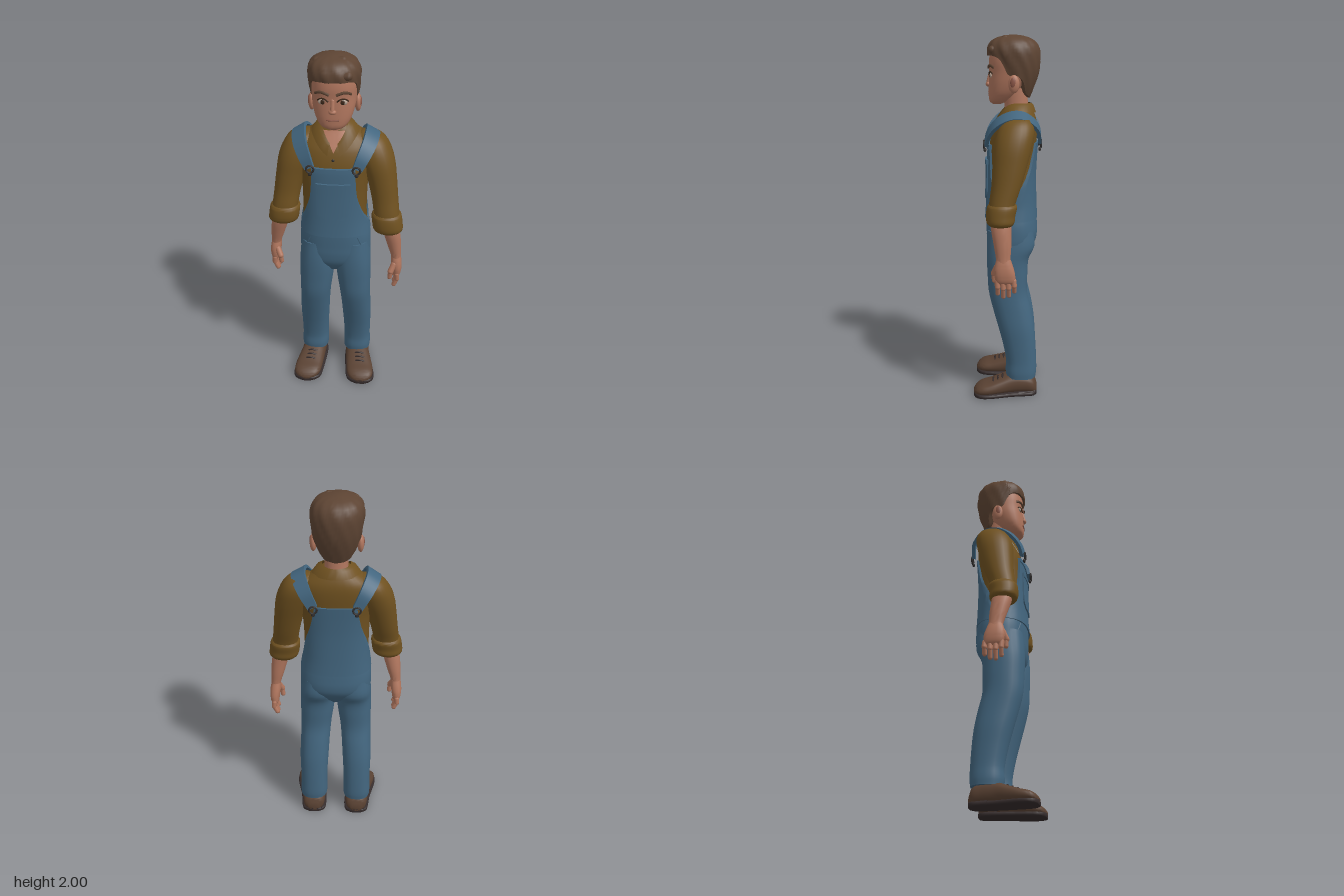
import * as THREE from 'three';
import { toCreasedNormals } from 'three/addons/utils/BufferGeometryUtils.js';

const mat = (name, color, side = THREE.FrontSide) => {
  const m = new THREE.MeshStandardMaterial({ color, side });
  m.name = name;
  return m;
};
const V = (x, y, z) => new THREE.Vector3(x, y, z);
const spow = (v, p) => Math.sign(v) * Math.pow(Math.abs(v), p);

// Smooth lookup in rows [t, ...values], t ascending
function sample(rows, t) {
  let i = 0;
  while (i < rows.length - 2 && t > rows[i + 1][0]) i++;
  const a = rows[i], b = rows[i + 1], p = rows[Math.max(0, i - 1)], q = rows[Math.min(rows.length - 1, i + 2)];
  const d = b[0] - a[0], f = Math.min(1, Math.max(0, (t - a[0]) / d)), f2 = f * f, f3 = f2 * f;
  return a.map((v, c) => {
    const m0 = (b[c] - p[c]) / (b[0] - p[0]) * d, m1 = (q[c] - v) / (q[0] - a[0]) * d;
    return (2 * f3 - 3 * f2 + 1) * v + (f3 - 2 * f2 + f) * m0 + (3 * f2 - 2 * f3) * b[c] + (f3 - f2) * m1;
  });
}

// Surface from a grid of points; optionally wrapped around and capped
function grid(pts, wrap, cap, crease = 0.9) {
  const R = pts.length, C = pts[0].length, pos = pts.flat().flatMap(p => [p.x, p.y, p.z]), idx = [];
  for (let r = 0; r < R - 1; r++) for (let c = 0; c < (wrap ? C : C - 1); c++) {
    const a = r * C + c, b = r * C + (c + 1) % C;
    idx.push(a, b, b + C, a, b + C, a + C);
  }
  if (cap) [0, R - 1].forEach((r, k) => {
    const m = pts[r].reduce((s, p) => s.add(p), V(0, 0, 0)).divideScalar(C), n = pos.length / 3;
    pos.push(m.x, m.y, m.z);
    for (let c = 0; c < C; c++) {
      const a = r * C + c, b = r * C + (c + 1) % C;
      idx.push(...(k ? [a, b, n] : [b, a, n]));
    }
  });
  const g = new THREE.BufferGeometry();
  g.setAttribute('position', new THREE.Float32BufferAttribute(pos, 3));
  g.setIndex(idx);
  return toCreasedNormals(g, crease);
}

// Rounded sections along y or z: rows [t, centre x, half width, high side, low side]
function loft(rows, { n = 2.2, axis = 'y', seg = 24, sub = 4 } = {}) {
  rows = [...rows].sort((a, b) => a[0] - b[0]);
  const pts = [];
  for (let i = 0; i <= (rows.length - 1) * sub; i++) {
    const k = Math.min(rows.length - 2, Math.floor(i / sub));
    const [t, cx, rx, hi, lo] = sample(rows, rows[k][0] + (rows[k + 1][0] - rows[k][0]) * (i / sub - k));
    pts.push(Array.from({ length: seg }, (_, j) => {
      const a = j / seg * Math.PI * 2, s = rx * spow(Math.sin(a), 2 / n);
      const w = (hi + lo) / 2 + (hi - lo) / 2 * spow(Math.cos(a), 2 / n);
      return axis === 'y' ? V(cx + s, t, w) : V(cx - s, w, t);
    }));
  }
  return grid(pts, true, true);
}

// Front (sign 1) or back (sign -1) depth of a lofted body at x, y
function depth(rows, n, x, y, sign = 1, off = 0) {
  const [, cx, rx, hi, lo] = sample(rows, y);
  const u = Math.min(1, Math.abs(x - cx) / (rx + off));
  return (hi + lo) / 2 + sign * ((hi - lo) / 2 + off) * Math.pow(1 - Math.pow(u, n), 1 / n);
}

// Cloth panel lying on a body, with half widths [y, w] and turned-in edges
function panel(body, n, widths, sign, off, U = 18, R = 16) {
  const y0 = widths[0][0], y1 = widths.at(-1)[0], pts = [];
  for (let r = -1; r <= R + 1; r++) {
    const y = y0 + (y1 - y0) * Math.min(R, Math.max(0, r)) / R, row = [];
    const [, cx, rx] = sample(body, y), w = sample(widths, y)[1];
    for (let u = -1; u <= U + 1; u++) {
      const o = r < 0 || r > R || u < 0 || u > U ? -0.004 : off;
      const a = (Math.min(U, Math.max(0, u)) / U * 2 - 1) * Math.PI / 2;
      const x = cx + sign * Math.min(w, rx + o) * Math.sin(a);
      row.push(V(x, y, depth(body, n, x, y, sign, o)));
    }
    pts.push(row);
  }
  return grid(pts, false, false);
}

function limb(a, b, r) {
  const d = b.clone().sub(a), g = new THREE.CapsuleGeometry(r, d.length(), 4, 10), mid = a.clone().add(b).multiplyScalar(0.5);
  return g.applyQuaternion(new THREE.Quaternion().setFromUnitVectors(V(0, 1, 0), d.normalize())).translate(mid.x, mid.y, mid.z);
}
const ball = (x, y, z, sx, sy, sz) => new THREE.SphereGeometry(1, 18, 12).scale(sx, sy, sz).translate(x, y, z);
const tube = (pts, r, seg = 16) => new THREE.TubeGeometry(new THREE.CatmullRomCurve3(pts), seg, r, 6);

export function createModel() {
  const root = new THREE.Group();
  const skin = mat('skin', 0xb0765e, THREE.DoubleSide), denim = mat('denim', 0x43667f, THREE.DoubleSide);
  const shirt = mat('shirt', 0x6f5120, THREE.DoubleSide), hair = mat('hair', 0x5d4433, THREE.DoubleSide);
  const leather = mat('shoe leather', 0x5a4233), sole = mat('sole', 0x352c2c), metal = mat('dark metal', 0x33302f);
  const white = mat('eye white', 0xb9a595), iris = mat('iris', 0x3c281a), lip = mat('lip', 0x8a5546);
  const add = (name, g, m) => {
    const o = new THREE.Mesh(g, m);
    o.name = name;
    root.add(o);
    return o;
  };

  // Shirt body, neck and open collar
  const body = [[1, -.005, .188, .112, -.162], [1.1, -.008, .177, .105, -.157], [1.25, -.008, .177, .1, -.154],
    [1.35, -.008, .185, .098, -.158], [1.42, -.008, .198, .093, -.163], [1.5, -.008, .2, .07, -.167],
    [1.55, -.008, .175, .042, -.162], [1.595, -.008, .115, .015, -.145], [1.625, -.008, .07, 0, -.125]];
  add('shirtBody', loft(body, { n: 2.4, seg: 32 }), shirt);
  add('neck', loft([[1.53, -.008, .07, .03, -.13], [1.62, -.008, .062, .012, -.118], [1.72, -.008, .064, .03, -.11]]), skin);
  add('openNeck', panel(body, 2.4, [[1.5, .001], [1.55, .028], [1.6, .06]], 1, .005), skin);
  const collar = [[], [], []];
  for (let j = 0; j <= 32; j++) {
    const a = (.04 + .92 * j / 32) * Math.PI * 2, f = Math.max(0, Math.cos(a)), s = Math.sin(a), c = Math.cos(a);
    const y = 1.638 - .1 * f ** 2.5, zf = c > 0 ? .115 : .08;
    collar[0].push(V(-.008 + .128 * s, y - .05 - .01 * f, -.055 + (zf + .025) * c));
    collar[1].push(V(-.008 + .098 * s, y - .012, -.055 + (zf + .012) * c));
    collar[2].push(V(-.008 + .074 * s, y, -.055 + zf * c));
  }
  add('collar', grid(collar, false, false), shirt);
  add('shirtButton', ball(-.008, 1.465, .089, .008, .008, .005), metal);

  // Overalls: hips, bib front and back, pocket and waist seam
  const hips = [[.76, -.004, .1, .06, -.06], [.82, -.004, .185, .1, -.12], [.88, -.004, .198, .112, -.162],
    [.93, -.004, .199, .113, -.172], [.98, -.005, .197, .114, -.17], [1.025, -.006, .19, .114, -.166]];
  add('hips', loft(hips, { n: 2.4, seg: 32 }), denim);
  add('bibFront', panel(body, 2.4, [[1.01, .2], [1.07, .185], [1.15, .155], [1.25, .126], [1.42, .115]], 1, .01), denim);
  add('bibBack', panel(body, 2.4, [[1.01, .2], [1.09, .185], [1.2, .165], [1.3, .135], [1.43, .11]], -1, .01), denim);
  add('bibHem', panel(body, 2.4, [[1.395, .117], [1.42, .116]], 1, .015, 18, 2), denim);
  add('bibPocket', panel(body, 2.4, [[1.12, .06], [1.14, .084], [1.24, .09], [1.33, .09]], 1, .017, 12, 8), denim);
  add('pocketHem', panel(body, 2.4, [[1.31, .092], [1.335, .092]], 1, .021, 12, 2), denim);

  for (const s of [1, -1]) {
    const side = s > 0 ? 'left' : 'right';
    const mirror = rows => rows.map(([y, x, ...r]) => [y, x * s - .004, ...r]);

    // Trouser leg
    add(side + 'TrouserLeg', loft(mirror([[.95, .1, .09, .1, -.15], [.86, .101, .099, .108, -.155], [.79, .103, .1, .109, -.124],
      [.7, .108, .096, .105, -.117], [.6, .115, .089, .098, -.116], [.5, .121, .086, .074, -.138], [.4, .126, .085, .046, -.156],
      [.3, .128, .081, .02, -.165], [.2, .129, .079, .002, -.17], [.14, .13, .081, .004, -.171], [.105, .13, .079, 0, -.167]]), { n: 2.4 }), denim);
    add(side + 'HipPocketSeam', tube([[.13, 1.0], [.15, .95], [.175, .91]].map(([x, y]) =>
      V(x * s - .004, y, depth(hips, 2.4, x * s - .004, y) + .002)), .004), denim);

    // Shoe, sole and laces
    const foot = [[-.172, .13, .03, .06, .012], [-.155, .13, .058, .1, .01], [-.1, .131, .069, .125, .01], [-.03, .137, .072, .125, .01],
      [.03, .147, .077, .104, .01], [.09, .157, .081, .083, .01], [.14, .162, .076, .07, .01], [.17, .164, .054, .052, .012], [.184, .164, .022, .035, .015]];
    add(side + 'Shoe', loft(mirror(foot), { axis: 'z', n: 2.5 }), leather);
    add(side + 'Sole', loft(mirror(foot.map(([z, x, r]) => [z, x, r + .006, .026, 0])), { axis: 'z', n: 5 }), sole);
    add(side + 'Heel', loft(mirror([[-.165, .13, .05, .03, 0], [-.07, .133, .077, .03, 0]]), { axis: 'z', n: 5 }), sole);
    for (let k = 0; k < 3; k++) {
      const z = .018 + k * .026, x = .145 + k * .004, y = .108 - k * .009;
      add(side + 'Lace', tube([V((x - .04) * s, y - .012, z), V(x * s, y + .003, z + .004), V((x + .04) * s, y - .012, z)], .005), sole);
    }

    // Arm: the right one hangs a little shorter and further back
    const k = s > 0 ? 1 : .925, bz = s > 0 ? 0 : -.02;
    const Y = y => 1.57 - (1.57 - y) * k;
    const Z = (y, z) => z + bz * THREE.MathUtils.clamp((1.1 - y) / .25, 0, 1);
    const arm = rows => rows.map(([y, x, r, hi, lo]) => [Y(y), x * s, r, Z(y, hi), Z(y, lo)]);
    add(side + 'Sleeve', loft(arm([[1.58, .15, .03, -.03, -.09], [1.56, .17, .068, .005, -.128], [1.51, .193, .088, .042, -.148],
      [1.43, .22, .092, .064, -.138], [1.33, .246, .081, .07, -.112], [1.22, .266, .073, .076, -.08], [1.13, .279, .071, .088, -.05], [1.06, .287, .072, .092, -.04]])), shirt);
    add(side + 'RolledCuff', loft(arm([[1.13, .279, .074, .09, -.052], [1.118, .28, .082, .098, -.06], [1.07, .286, .084, .104, -.05],
      [1.035, .291, .081, .1, -.046], [1.02, .292, .066, .085, -.034]])), shirt);
    add(side + 'Forearm', loft(arm([[1.07, .295, .048, .08, -.03], [1, .314, .046, .076, -.03], [.92, .33, .038, .062, -.03],
      [.85, .342, .028, .05, -.026], [.82, .345, .028, .05, -.03]])), skin);
    add(side + 'Palm', loft(arm([[.85, .342, .026, .048, -.026], [.81, .346, .03, .058, -.04], [.77, .35, .028, .06, -.05],
      [.73, .35, .022, .052, -.05], [.715, .348, .012, .04, -.04]]), { n: 2.6, seg: 18 }), skin);
    const P = (x, y, z) => V(x * s, Y(y), Z(y, z));
    for (let f = 0; f < 4; f++) {
      const z = .044 - f * .029, len = [.055, .07, .065, .045][f];
      add(side + 'Finger', limb(P(.352, .735, z), P(.354, .735 - len * .6, z - .002), .0145), skin);
      add(side + 'Fingertip', limb(P(.354, .735 - len * .6, z - .002), P(.338, .725 - len * 1.15, z - .003), .0125), skin);
    }
    add(side + 'Thumb', limb(P(.333, .805, .045), P(.316, .765, .062), .017), skin);
    add(side + 'ThumbTip', limb(P(.316, .765, .062), P(.312, .725, .06), .0135), skin);

    // Shoulder strap over the shoulder, with clips
    const path = new THREE.CatmullRomCurve3([[.125, 1.425, .108], [.15, 1.48, .094], [.18, 1.54, .046], [.195, 1.577, -.03],
      [.19, 1.572, -.1], [.155, 1.515, -.166], [.115, 1.44, -.18]].map(([x, y, z]) => V(x * s - .006, y, z)));
    const band = [];
    for (let i = 0; i <= 28; i++) {
      const p = path.getPoint(i / 28), t = path.getTangent(i / 28);
      const out = p.clone().sub(V(.1 * s, 1.42, -.045)), b = t.clone().cross(out).normalize(), nn = b.clone().cross(t).normalize();
      const w = .026 + .014 * Math.sin(i / 28 * Math.PI);
      band.push([[-1, -1], [1, -1], [1, 1], [-1, 1]].map(([u, v]) => p.clone().addScaledVector(b, u * w).addScaledVector(nn, v * .009)));
    }
    add(side + 'Strap', grid(band, true, true, .6), denim);
    for (const [x, y, z] of [[.122, 1.425, .12], [.113, 1.43, -.187]]) {
      add(side + 'StrapClip', new THREE.TorusGeometry(.02, .0055, 6, 16).translate(x * s - .006, y, z), metal);
      add(side + 'ClipButton', ball(x * s - .006, y - .03, z * .96, .011, .011, .008), metal);
    }
  }

  // Head and face
  const head = [[1.632, -.01, .025, .075, .03], [1.645, -.01, .058, .092, .0], [1.68, -.01, .088, .098, -.05], [1.74, -.01, .108, .097, -.1],
    [1.8, -.01, .116, .094, -.135], [1.86, -.01, .119, .096, -.15], [1.92, -.012, .11, .08, -.145], [1.96, -.012, .07, .03, -.11]];
  const face = (x, y, o) => V(x - .01, y, depth(head, 2.3, x - .01, y) + o);
  add('head', loft(head, { n: 2.3, seg: 32 }), skin);
  add('noseBridge', limb(face(0, 1.795, -.006), face(0, 1.745, .004), .011), skin);
  add('noseTip', ball(-.01, 1.738, .098, .02, .014, .016), skin);
  add('mouth', tube([-.033, -.015, 0, .015, .033].map(x => face(x, 1.692 + Math.abs(x) * .06, 0)), .0045), lip);
  for (const s of [1, -1]) {
    const side = s > 0 ? 'left' : 'right', e = face(.05 * s, 1.787, 0);
    add(side + 'Eye', ball(e.x, e.y, e.z - .004, .024, .015, .008), white);
    add(side + 'Iris', ball(e.x, e.y, e.z + .001, .012, .0125, .005), iris);
    add(side + 'UpperLid', tube([.022, .035, .05, .065, .078].map((x, i) => face(x * s, 1.79 + [0, .011, .015, .011, 0][i], .001)), .004), iris);
    add(side + 'Brow', tube([.018, .035, .055, .075, .09].map((x, i) => face(x * s, 1.826 + [0, .007, .012, .008, -.002][i], .002)), .0075), hair);
    add(side + 'Ear', ball(-.01 + s * .12, 1.742, -.04, .018, .048, .03).applyMatrix4(new THREE.Matrix4()), skin);
    add(side + 'EarHollow', ball(-.01 + s * .132, 1.748, -.036, .008, .028, .016), lip);
  }

  // Hair cap with a rim that dips from forehead to nape, and wavy locks
  const crown = [[1.65, -.01, .075, .04, -.118], [1.72, -.01, .104, .06, -.148], [1.8, -.01, .124, .08, -.174], [1.87, -.011, .134, .1, -.182],
    [1.92, -.013, .135, .106, -.178], [1.96, -.015, .118, .088, -.158], [1.985, -.016, .082, .05, -.118], [1.997, -.018, .03, 0, -.07]];
  const rim = [[0, 1.89], [45, 1.885], [62, 1.86], [74, 1.79], [92, 1.785], [108, 1.76], [130, 1.69], [180, 1.665]];
  const cap = [];
  for (let r = -1; r <= 16; r++) cap.push(Array.from({ length: 64 }, (_, j) => {
    const a = j / 64 * Math.PI * 2, deg = Math.min(j, 64 - j) / 64 * 360, base = sample(rim, deg)[1];
    const y = base + (1.997 - base) * Math.sin(Math.max(0, r) / 16 * Math.PI / 2), [, cx, rx, hi, lo] = sample(crown, y);
    const f = (r < 0 ? .82 : 1) * (1 + .018 * Math.sin(13 * a + 45 * y));
    return V(cx + rx * f * spow(Math.sin(a), .9), y, (hi + lo) / 2 + (hi - lo) / 2 * f * spow(Math.cos(a), .9));
  }));
  add('hair', grid(cap, true, true, .6), hair);
  for (let i = 0; i < 4; i++) {
    const y = 1.915 + i * .018, z = .074 - i * .022;
    add('sweptLock', limb(V(.065 - i * .01, y + .004, z), V(-.08 - i * .006, y - .006, z - .012), .023), hair);
  }
  return root;
}
